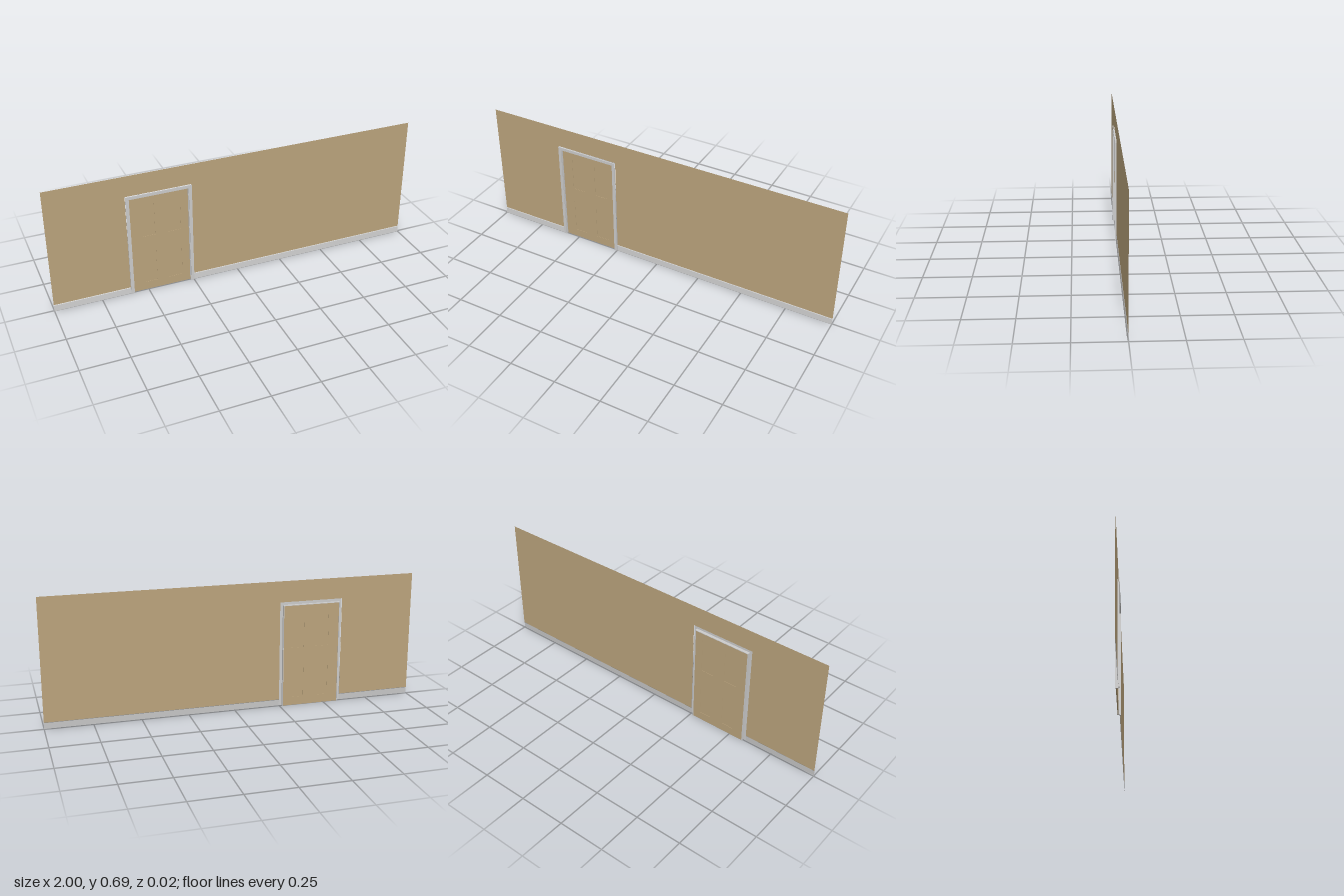
import * as THREE from 'three';

const paint = new THREE.MeshStandardMaterial({ color: 0xbaa37c, side: THREE.DoubleSide });
const trim = new THREE.MeshStandardMaterial({ color: 0xcccccc, side: THREE.DoubleSide });

// Doorway edges, wall height and skirting height
const L = -0.58, R = -0.265, HEAD = 0.556;
const CASING = 0.016, WALL_H = 0.685, SKIRT = 0.035, WALL_Z = 0.001;

function polygon(points) {
  return new THREE.Shape(points.map(([x, y]) => new THREE.Vector2(x, y)));
}

function add(parent, name, geometry, material) {
  const mesh = new THREE.Mesh(geometry, material);
  mesh.name = name;
  parent.add(mesh);
  return mesh;
}

function extrude(shape, z0, z1) {
  return new THREE.ExtrudeGeometry(shape, { depth: z1 - z0, bevelEnabled: false }).translate(0, 0, z0);
}

// Upside-down U round the doorway, from inset "a" to offset "b"
function arch(a, b) {
  return polygon([
    [L - b, 0], [L - b, HEAD + b], [R + b, HEAD + b], [R + b, 0],
    [R - a, 0], [R - a, HEAD - a], [L + a, HEAD - a], [L + a, 0],
  ]);
}

// Sheet that follows a (z, y) profile between two x positions
function moulding(profile, x0, x1) {
  const pos = [];
  for (let i = 0; i < profile.length - 1; i++) {
    const [za, ya] = profile[i], [zb, yb] = profile[i + 1];
    pos.push(x0, ya, za, x1, ya, za, x1, yb, zb);
    pos.push(x0, ya, za, x1, yb, zb, x0, yb, zb);
  }
  const g = new THREE.BufferGeometry();
  g.setAttribute('position', new THREE.Float32BufferAttribute(pos, 3));
  g.computeVertexNormals();
  return g;
}

export function createModel() {
  const model = new THREE.Group();
  model.name = 'wallWithDoor';
  const oL = L - CASING, oR = R + CASING, oTop = HEAD + CASING;

  // Thin wall, cut out round the doorway and resting on the skirting
  const wall = polygon([
    [-1, SKIRT], [oL, SKIRT], [oL, oTop], [oR, oTop], [oR, SKIRT],
    [1, SKIRT], [1, WALL_H], [-1, WALL_H],
  ]);
  add(model, 'wall', new THREE.ShapeGeometry(wall).translate(0, 0, WALL_Z), paint);

  // Skirting on both sides of the door
  const profile = [[0.0055, 0], [0.003, SKIRT - 0.003], [WALL_Z, SKIRT]];
  add(model, 'skirtingRight', moulding(profile, -1, oL), trim);
  add(model, 'skirtingLeft', moulding(profile, oR, 1), trim);

  // Door frame: casing on the front, jamb lining behind it
  const frame = new THREE.Group();
  frame.name = 'doorFrame';
  add(frame, 'casing', extrude(arch(0, CASING), 0.0055, 0.01), trim);
  add(frame, 'jamb', extrude(arch(0.003, 0), -0.01, 0.0055), trim);
  model.add(frame);

  // Door leaf with four sunken panels
  const door = new THREE.Group();
  door.name = 'door';
  const l = L + 0.003, r = R - 0.003, t = HEAD - 0.003;
  const leaf = polygon([[l, 0], [r, 0], [r, t], [l, t]]);
  for (const [x0, x1] of [[-0.52, -0.448], [-0.382, -0.31]]) {
    for (const [y0, y1] of [[0.045, 0.238], [0.322, 0.512]]) {
      leaf.holes.push(polygon([[x0, y0], [x0, y1], [x1, y1], [x1, y0]]));
      const panel = new THREE.BoxGeometry(x1 - x0, y1 - y0, 0.002);
      add(door, 'doorPanel', panel, paint).position.set((x0 + x1) / 2, (y0 + y1) / 2, -0.0045);
    }
  }
  add(door, 'doorLeaf', extrude(leaf, -0.007, -0.002), paint);
  model.add(door);

  return model;
}
